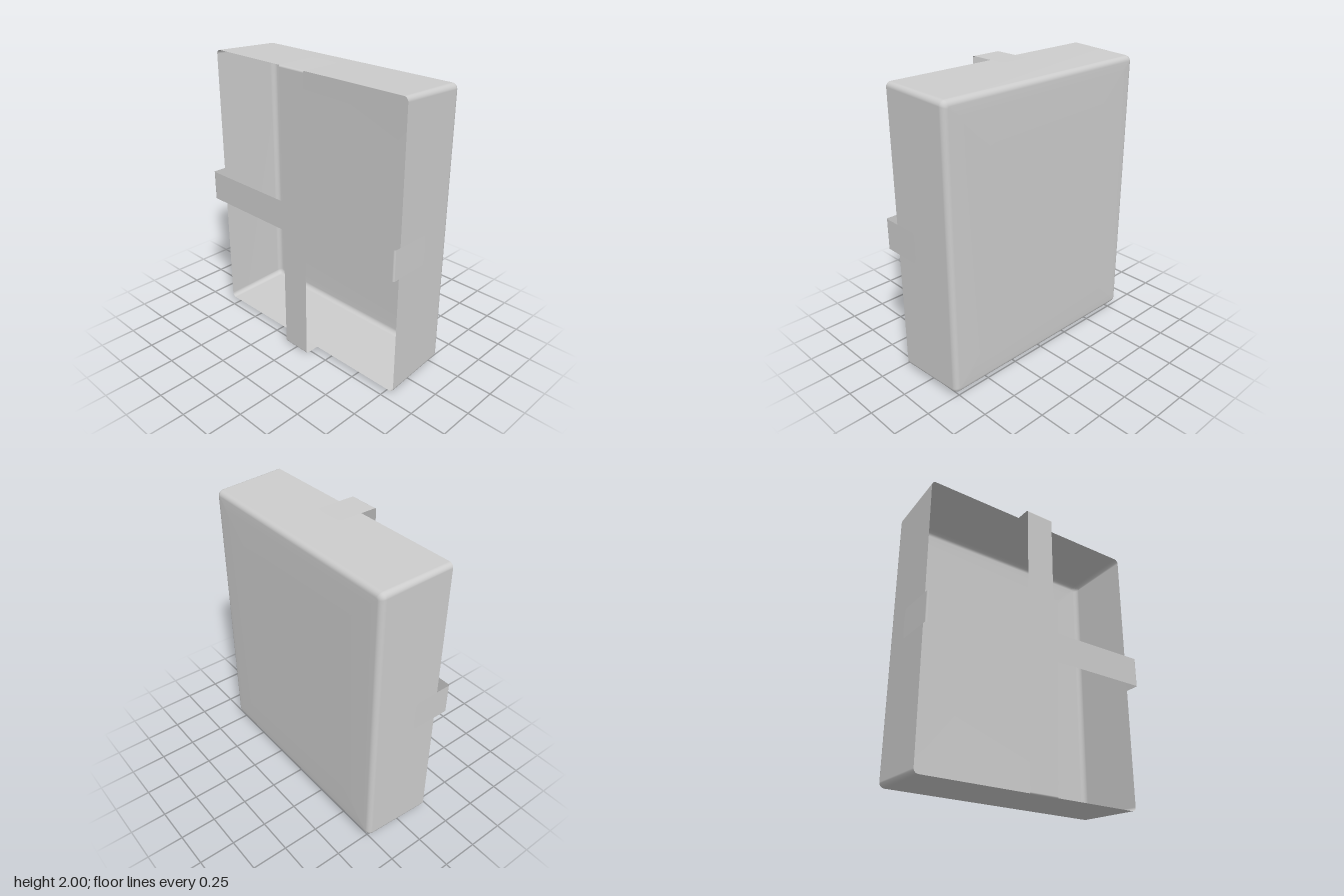
import * as THREE from 'three';

// Shared dimensions
const W = 0.104;      // half width of strap
const FRONT = 0.287;  // front plane of strap
const BEND = 0.012;   // fold radius of strap
const REACH_X = 0.84, REACH_Y = 1.0;

const grey = new THREE.MeshStandardMaterial({ color: 0xcccccc, side: THREE.DoubleSide });
grey.name = 'plain grey';

function mesh(name, geometry) {
  const m = new THREE.Mesh(geometry, grey);
  m.name = name;
  return m;
}

// Rounded rectangle section, counter-clockwise seen from the front
function ring(hw, hh, r, z) {
  const pts = [], steps = 6;
  const corners = [[1, 1], [-1, 1], [-1, -1], [1, -1]];
  corners.forEach(([sx, sy], q) => {
    for (let k = 0; k <= steps; k++) {
      const a = (q + k / steps) * Math.PI / 2;
      pts.push([sx * (hw - r) + r * Math.cos(a), sy * (hh - r) + r * Math.sin(a), z]);
    }
  });
  return pts;
}

// Open tray: tapered walls, filleted back edge, slightly domed back
function trayGeometry() {
  const rings = [ring(0.815, 0.973, 0.03, 0.207), ring(0.801, 0.956, 0.035, -0.248)];
  const f = 0.035;
  for (let k = 1; k <= 6; k++) {
    const a = k / 6 * Math.PI / 2;
    const inset = f * (1 - Math.cos(a));
    rings.push(ring(0.8 - inset, 0.955 - inset, 0.035 - inset * 0.7, -0.248 - f * Math.sin(a)));
  }
  rings.push(ring(0.7, 0.86, 0.01, -0.285), ring(0.5, 0.65, 0.01, -0.287));

  const n = rings[0].length, index = [];
  const positions = rings.flat(2);
  for (let i = 0; i < rings.length - 1; i++) {
    for (let j = 0; j < n; j++) {
      const a = i * n + j, b = i * n + (j + 1) % n;
      index.push(a, a + n, b, b, a + n, b + n);
    }
  }
  const centre = positions.length / 3, last = centre - n;
  positions.push(0, 0, -0.287);
  for (let j = 0; j < n; j++) index.push(last + j, centre, last + (j + 1) % n);

  const g = new THREE.BufferGeometry();
  g.setAttribute('position', new THREE.Float32BufferAttribute(positions, 3));
  g.setIndex(index);
  g.computeVertexNormals();
  return g;
}

// Flat cross with small fillets at the inner corners
function crossGeometry() {
  const X = REACH_X - BEND, Y = REACH_Y - BEND, f = W + 0.018;
  const s = new THREE.Shape();
  s.moveTo(X, -W);
  s.lineTo(X, W);
  s.lineTo(f, W);
  s.quadraticCurveTo(W, W, W, f);
  s.lineTo(W, Y);
  s.lineTo(-W, Y);
  s.lineTo(-W, f);
  s.quadraticCurveTo(-W, W, -f, W);
  s.lineTo(-X, W);
  s.lineTo(-X, -W);
  s.lineTo(-f, -W);
  s.quadraticCurveTo(-W, -W, -W, -f);
  s.lineTo(-W, -Y);
  s.lineTo(W, -Y);
  s.lineTo(W, -f);
  s.quadraticCurveTo(W, -W, f, -W);
  s.closePath();
  return new THREE.ShapeGeometry(s, 5).translate(0, 0, FRONT);
}

// Folded end of one arm: rounded bend and a flap with rounded corners
function foldedEnd(name, reach, angle) {
  const g = new THREE.Group();
  g.name = name;
  const bend = new THREE.CylinderGeometry(BEND, BEND, 2 * W, 6, 1, true, 0, Math.PI / 2);
  bend.rotateZ(Math.PI / 2).translate(0, reach - BEND, FRONT - BEND);

  const r = 0.02, edge = -0.006;
  const s = new THREE.Shape();
  s.moveTo(-W, -(FRONT - BEND));
  s.lineTo(W, -(FRONT - BEND));
  s.lineTo(W, edge - r);
  s.quadraticCurveTo(W, edge, W - r, edge);
  s.quadraticCurveTo(0, 0.006, -W + r, edge);
  s.quadraticCurveTo(-W, edge, -W, edge - r);
  s.closePath();
  const flap = new THREE.ShapeGeometry(s, 6);
  flap.rotateX(-Math.PI / 2).translate(0, reach, 0);

  g.add(mesh('strapBend', bend), mesh('strapFlap', flap));
  g.rotation.z = angle;
  return g;
}

export function createModel() {
  const model = new THREE.Group();
  model.name = 'strappedTray';

  const strap = new THREE.Group();
  strap.name = 'crossStrap';
  strap.add(mesh('strapCross', crossGeometry()));
  ['top', 'right', 'bottom', 'left'].forEach((side, k) => {
    strap.add(foldedEnd(side + 'StrapEnd', k % 2 ? REACH_X : REACH_Y, k * Math.PI / 2));
  });

  const tray = mesh('tray', trayGeometry());
  tray.position.y = strap.position.y = 1;
  model.add(tray, strap);
  return model;
}
